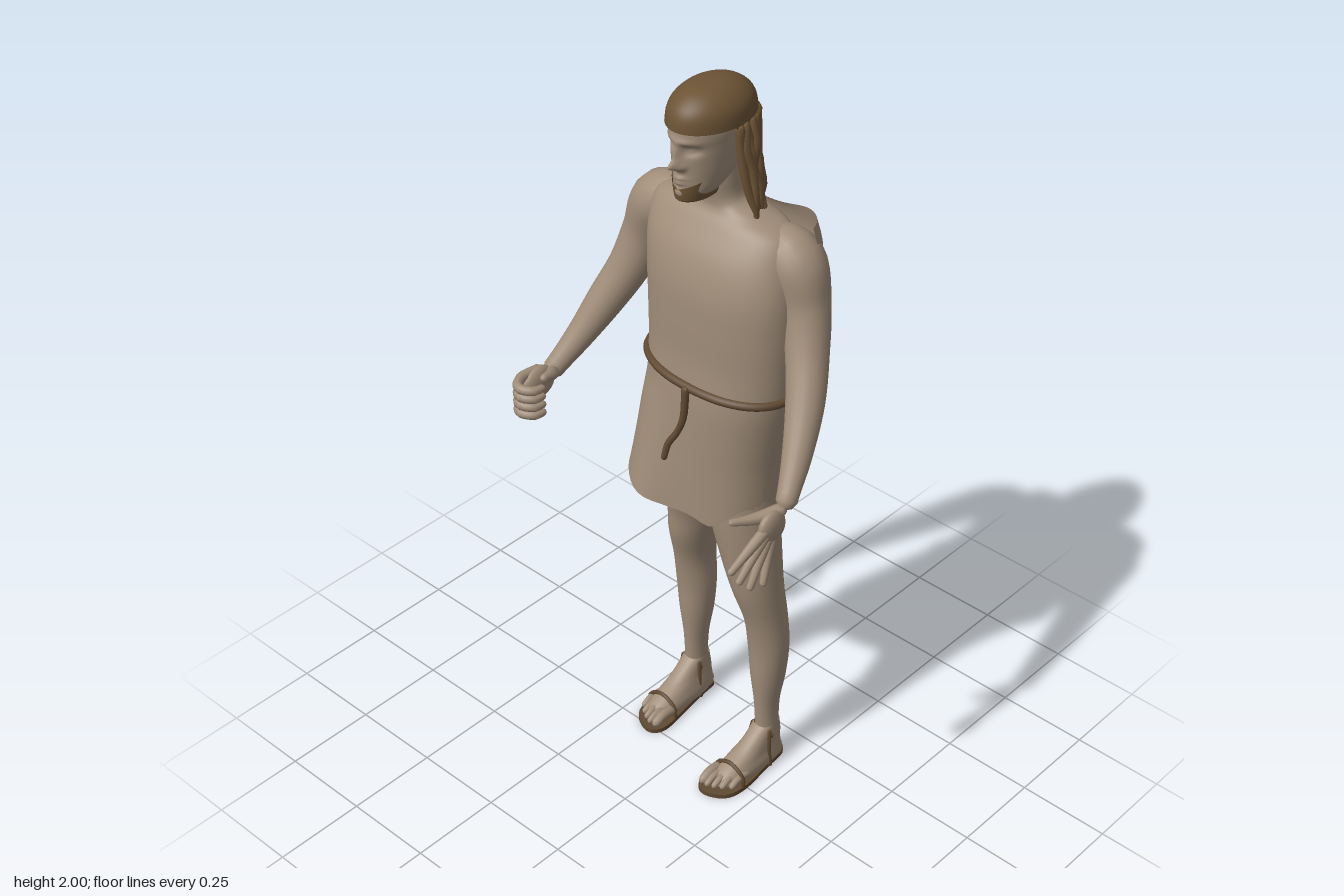
import * as THREE from 'three';

const material = (name, color, side = THREE.FrontSide) => {
  const m = new THREE.MeshStandardMaterial({ color, side });
  m.name = name;
  return m;
};

// Catmull-Rom value along a list of numbers, t in 0..1
function spline(v, t) {
  const f = t * (v.length - 1), i = Math.min(Math.floor(f), v.length - 2), u = f - i;
  const b = v[i], c = v[i + 1], a = v[i - 1] ?? b, d = v[i + 2] ?? c;
  return b + 0.5 * u * (c - a + u * (2 * a - 5 * b + 4 * c - d + u * (3 * (b - c) + d - a)));
}

// Surface through rows of points; closed rows wrap around
function skin(rows, closed = true) {
  const n = rows[0].length, index = [];
  for (let i = 0; i < rows.length - 1; i++) {
    for (let j = 0; j < (closed ? n : n - 1); j++) {
      const k = (j + 1) % n, a = i * n + j, b = i * n + k;
      index.push(a, b, b + n, a, b + n, a + n);
    }
  }
  const g = new THREE.BufferGeometry().setFromPoints(rows.flat());
  g.setIndex(index);
  g.computeVertexNormals();
  return g;
}

// Upright loft of rings [y, cx, cz, rx, rz]; angle 0 faces the front
function loft(rings, { steps = 24, seg = 36, from = 0, to = Math.PI * 2, power = 1, shape } = {}) {
  const closed = to - from > 6.28, rows = [];
  const pow = s => Math.sign(s) * Math.abs(s) ** power;
  for (let i = 0; i <= steps; i++) {
    const [y, cx, cz, rx, rz] = [0, 1, 2, 3, 4].map(k => spline(rings.map(r => r[k]), i / steps));
    const row = [];
    for (let j = 0; j < (closed ? seg : seg + 1); j++) {
      const a = from + (to - from) * j / seg;
      const p = new THREE.Vector3(cx + rx * pow(Math.sin(a)), y, cz + rz * pow(Math.cos(a)));
      if (shape) shape(p, a, i / steps);
      row.push(p);
    }
    rows.push(row);
  }
  return skin(rows, closed);
}

// Round limb through points [x, y, z, radius], rounded at both ends
function limb(pts, steps = 10, seg = 10) {
  const curve = new THREE.CatmullRomCurve3(pts.map(p => new THREE.Vector3(p[0], p[1], p[2])));
  const { normals, binormals, tangents } = curve.computeFrenetFrames(steps);
  const radii = pts.map(p => p[3]), rows = [];
  const ring = (i, size, push) => {
    const r = spline(radii, curve.getUtoTmapping(i / steps)), c = curve.getPointAt(i / steps);
    c.addScaledVector(tangents[i], push * r);
    rows.push(Array.from({ length: seg }, (_, j) => {
      const a = j / seg * Math.PI * 2;
      return c.clone().addScaledVector(normals[i], r * size * Math.cos(a))
        .addScaledVector(binormals[i], r * size * Math.sin(a));
    }));
  };
  ring(0, 0, -0.8); ring(0, 0.65, -0.55);
  for (let i = 0; i <= steps; i++) ring(i, 1, 0);
  ring(steps, 0.65, 0.55); ring(steps, 0, 0.8);
  return skin(rows);
}

const bump = (d, s) => Math.exp(-(d * d) / (s * s));

export function createModel() {
  const model = new THREE.Group();
  const tan = material('tan skin and cloth', 0xa08d79, THREE.DoubleSide);
  const brown = material('brown hair', 0x6c5335, THREE.DoubleSide);
  const leather = material('brown leather', 0x614a32, THREE.DoubleSide);
  const add = (name, geometry, mat, parent = model) => {
    const m = new THREE.Mesh(geometry, mat);
    m.name = name;
    parent.add(m);
    return m;
  };
  const ball = (name, x, y, z, sx, sy, sz) => {
    const m = add(name, new THREE.SphereGeometry(1, 20, 14), tan);
    m.position.set(x, y, z);
    m.scale.set(sx, sy, sz);
    return m;
  };

  // Tunic, chest and neck in one loft; the skirt flares on the right
  add('tunic', loft([
    [0.86, -0.012, -0.092, 0.208, 0.152], [1.0, 0, -0.1, 0.205, 0.153], [1.1, 0.012, -0.104, 0.208, 0.152],
    [1.2, 0.026, -0.1, 0.209, 0.142], [1.3, 0.03, -0.096, 0.212, 0.13], [1.4, 0.031, -0.096, 0.215, 0.13],
    [1.5, 0.027, -0.095, 0.215, 0.125], [1.58, 0.015, -0.1, 0.21, 0.108], [1.645, 0.004, -0.117, 0.195, 0.085],
    [1.675, 0, -0.12, 0.125, 0.066], [1.7, 0, -0.108, 0.066, 0.052], [1.76, 0, -0.097, 0.056, 0.053],
    [1.8, 0, -0.095, 0.054, 0.05],
  ], {
    steps: 60, seg: 64, power: 0.87,
    shape: (p, a) => {
      const k = THREE.MathUtils.clamp((1.18 - p.y) / 0.32, 0, 1);
      const front = Math.max(Math.cos(a), 0), back = Math.max(-Math.cos(a), 0);
      p.z += k * front * (0.045 * bump(p.x + 0.12, 0.09) - 0.012);
      p.z -= 0.03 * back * bump(p.x + 0.16, 0.07) * bump(p.y - 0.95, 0.13);
      p.x -= k * 0.012 * bump(a - 5.2, 0.5);
      p.y += k ** 4 * (0.045 * bump(a - 1.1, 0.35) - 0.02 * bump(a - 0.5, 0.2)
        + 0.025 * bump(a - 5.4, 0.5) - 0.02 * bump(a - 3.9, 0.5));
    },
  }), tan);

  // Loose back panel standing off the shoulders, with a dipped neckline
  add('tunicBack', loft([
    [1.3, 0.03, -0.1, 0.214, 0.13], [1.4, 0.031, -0.11, 0.218, 0.135], [1.5, 0.032, -0.125, 0.225, 0.138],
    [1.6, 0.033, -0.13, 0.225, 0.132], [1.675, 0.03, -0.125, 0.215, 0.12],
  ], {
    steps: 14, seg: 36, from: 1.75, to: 4.55, power: 0.85,
    shape: (p, a, t) => { p.y -= t ** 4 * 0.045 * bump(a - 3.2, 0.55); },
  }), tan);

  // Rope belt with its hanging end
  const beltPoints = Array.from({ length: 40 }, (_, i) => {
    const a = i / 40 * Math.PI * 2, f = s => Math.sign(s) * Math.abs(s) ** 0.87;
    return new THREE.Vector3(0.029 + 0.212 * f(Math.sin(a)), 1.236 - 0.004 * Math.sin(a), -0.099 + 0.141 * f(Math.cos(a)));
  });
  add('belt', new THREE.TubeGeometry(new THREE.CatmullRomCurve3(beltPoints, true), 100, 0.011, 8, true), leather);
  add('beltEnd', limb([[0.035, 1.235, 0.052, 0.01], [0.03, 1.15, 0.055, 0.009], [0.012, 1.1, 0.058, 0.009],
    [-0.01, 1.06, 0.066, 0.009], [-0.016, 1.02, 0.074, 0.008]], 16, 8), leather);

  // Arms
  add('leftArm', limb([[0.15, 1.61, -0.135, 0.06], [0.205, 1.58, -0.135, 0.074], [0.245, 1.48, -0.13, 0.061],
    [0.28, 1.38, -0.1, 0.053], [0.32, 1.28, -0.05, 0.047], [0.358, 1.18, 0.02, 0.036], [0.385, 1.1, 0.085, 0.026]], 32, 20), tan);
  add('rightArm', limb([[-0.15, 1.61, -0.135, 0.06], [-0.212, 1.58, -0.135, 0.074], [-0.258, 1.48, -0.13, 0.062],
    [-0.29, 1.38, -0.1, 0.054], [-0.33, 1.28, -0.05, 0.047], [-0.362, 1.19, 0.01, 0.036], [-0.39, 1.11, 0.08, 0.027]], 32, 20), tan);

  // Open left hand
  ball('leftPalm', 0.385, 1.055, 0.135, 0.019, 0.046, 0.042).rotation.x = 0.75;
  [[0.372, 0.985, 0.262], [0.383, 0.952, 0.245], [0.395, 0.927, 0.22], [0.405, 0.925, 0.185]].forEach(([x, y, z], i) =>
    add('leftFinger', limb([[0.385, 1.075, 0.115, 0.012], [0.386, 1.047 - i * 0.012, 0.182 - i * 0.014, 0.014],
      [x, y, z, 0.009]], 8, 8), tan));
  add('leftThumb', limb([[0.383, 1.085, 0.1, 0.017], [0.355, 1.075, 0.155, 0.015], [0.328, 1.08, 0.212, 0.009]], 8, 8), tan);

  // Closed right hand
  ball('rightPalm', -0.393, 1.093, 0.13, 0.022, 0.046, 0.055);
  for (let i = 0; i < 4; i++) {
    const y = 1.126 - i * 0.024;
    add('rightFinger', limb([[-0.4, y, 0.12, 0.013], [-0.402, y, 0.18, 0.014], [-0.375, y, 0.212, 0.013],
      [-0.338, y, 0.196, 0.012], [-0.333, y, 0.172, 0.01]], 14, 8), tan);
  }
  add('rightThumb', limb([[-0.385, 1.11, 0.085, 0.018], [-0.36, 1.125, 0.115, 0.016], [-0.35, 1.135, 0.15, 0.011]], 8, 8), tan);

  // Legs, feet and sandals; the right one stands further back
  for (const side of [1, -1]) {
    const leg = new THREE.Group(), s = side;
    leg.name = side > 0 ? 'leftLeg' : 'rightLeg';
    leg.position.z = side > 0 ? 0 : -0.075;
    model.add(leg);
    add('leg', loft([
      [0.03, 0.162, -0.132, 0.032, 0.042], [0.1, 0.162, -0.13, 0.029, 0.035], [0.2, 0.161, -0.128, 0.031, 0.038],
      [0.3, 0.161, -0.13, 0.046, 0.049], [0.4, 0.161, -0.129, 0.055, 0.054], [0.5, 0.158, -0.118, 0.055, 0.06],
      [0.6, 0.145, -0.1, 0.064, 0.071], [0.7, 0.128, -0.092, 0.077, 0.08], [0.85, 0.108, -0.083, 0.092, 0.09],
      [1.0, 0.1, -0.08, 0.095, 0.09],
    ].map(r => [r[0], r[1] * s, r[2] + (s < 0 && r[0] > 0.8 ? 0.03 : 0), r[3], r[4]]), { steps: 40, seg: 24 }), tan, leg);
    add('foot', loft([
      [0.012, 0.158, -0.06, 0, 0], [0.014, 0.158, -0.06, 0.04, 0.115], [0.035, 0.158, -0.06, 0.045, 0.118],
      [0.06, 0.158, -0.078, 0.038, 0.098], [0.085, 0.16, -0.105, 0.033, 0.07], [0.13, 0.161, -0.13, 0.029, 0.036],
    ].map(r => [r[0], r[1] * s, r[2], r[3], r[4]]), { steps: 20, seg: 28, power: 0.85 }), tan, leg);
    [0.078, 0.082, 0.075, 0.063, 0.046].forEach((z, i) => {
      const x = s * (0.121 + i * 0.0185), r = i ? 0.0095 : 0.014;
      add('toe', limb([[x, 0.035, z - 0.06, r], [x, 0.037, z - 0.025, r], [x, 0.026, z, r * 0.9]], 6, 8), tan, leg);
    });

    const outline = new THREE.Shape([[0.128, -0.165], [0.158, -0.183], [0.19, -0.165], [0.199, -0.09], [0.21, 0.0],
      [0.2, 0.06], [0.165, 0.09], [0.125, 0.095], [0.102, 0.06], [0.11, -0.02], [0.122, -0.1]]
      .map(([x, z]) => new THREE.Vector2(x * s, -z)));
    const smooth = new THREE.Shape(new THREE.SplineCurve([...outline.getPoints(), outline.getPoints()[0]]).getPoints(44).slice(0, -1));
    const sole = new THREE.ExtrudeGeometry(smooth, { depth: 0.013, bevelEnabled: false });
    add('sandalSole', sole.rotateX(-Math.PI / 2), leather, leg);

    // Straps over the toes, around the ankle and down both sides
    const arch = (z, y, w) => limb([[-w, 0.012, z], [-w * 0.92, y * 0.65, z], [0, y, z], [w * 0.92, y * 0.65, z], [w, 0.012, z]]
      .map(([x, h, d]) => [0.158 * s + x, h, d, 0.006]), 18, 6);
    add('toeStrap', arch(0.012, 0.065, 0.047), leather, leg);
    for (const x of [-0.036, 0.036]) {
      add('ankleStrap', limb([[0.16 * s + x * 1.15, 0.01, -0.1, 0.006], [0.16 * s + x, 0.06, -0.1, 0.006],
        [0.161 * s + x * 0.8, 0.118, -0.108, 0.006]], 8, 6), leather, leg);
    }
    add('instepStrap', limb([[0.13 * s, 0.1, -0.115, 0.006], [0.145 * s, 0.092, -0.08, 0.006], [0.16 * s, 0.087, -0.064, 0.006],
      [0.177 * s, 0.092, -0.08, 0.006], [0.193 * s, 0.1, -0.115, 0.006]], 14, 6), leather, leg);
  }

  // Head with nose, brow, eyes and lips pushed out of the loft
  add('head', loft([
    [1.735, 0, -0.025, 0, 0], [1.737, 0, -0.025, 0.032, 0.05], [1.755, 0, -0.034, 0.05, 0.068], [1.79, 0, -0.055, 0.063, 0.09],
    [1.83, 0, -0.066, 0.071, 0.103], [1.87, 0, -0.07, 0.076, 0.109], [1.91, 0, -0.072, 0.079, 0.114],
    [1.95, 0, -0.072, 0.07, 0.1], [1.975, 0, -0.072, 0.04, 0.06],
  ], {
    steps: 70, seg: 96,
    shape: (p, a) => {
      if (Math.cos(a) < 0.2) return;
      const at = (x, y, sx, sy) => bump(Math.abs(p.x) - x, sx) * bump(p.y - y, sy);
      p.z += 0.03 * at(0, 1.828, 0.012, 0.013) + 0.016 * at(0, 1.855, 0.01, 0.025) + 0.009 * at(0.014, 1.822, 0.007, 0.008)
        - 0.014 * at(0.03, 1.865, 0.017, 0.011) + 0.006 * at(0.03, 1.865, 0.01, 0.005) + 0.006 * at(0.02, 1.887, 0.03, 0.008)
        + 0.008 * at(0, 1.791, 0.018, 0.005) + 0.008 * at(0, 1.779, 0.016, 0.005) + 0.007 * at(0, 1.752, 0.02, 0.013);
    },
  }), tan);

  // Short beard along the jaw
  add('beard', loft([
    [1.727, 0, -0.027, 0, 0], [1.729, 0, -0.027, 0.034, 0.056], [1.74, 0, -0.031, 0.045, 0.069], [1.762, 0, -0.04, 0.056, 0.079],
  ], { steps: 12, seg: 40, from: -1.9, to: 1.9, shape: (p, a) => { p.y += Math.max(0, p.y - 1.735) * Math.abs(a) * 0.9; } }), brown);

  // Hair cap: straight fringe, longer at the back
  add('hairCap', loft([
    [1.77, 0, -0.078, 0.083, 0.113], [1.85, 0, -0.074, 0.087, 0.12], [1.915, 0, -0.073, 0.089, 0.123], [1.955, 0, -0.073, 0.082, 0.113],
    [1.982, 0, -0.073, 0.06, 0.084], [1.996, 0, -0.073, 0.032, 0.046], [2.0, 0, -0.073, 0, 0],
  ], {
    steps: 36, seg: 48,
    shape: (p, a) => { p.y = Math.max(p.y, 1.77 + 0.143 * THREE.MathUtils.smoothstep(Math.cos(a), -0.5, 0.15)); },
  }), brown);

  // Long twisted strands around the sides and back
  let seed = 7;
  const rand = () => (seed = (seed * 16807) % 2147483647) / 2147483647 - 0.5;
  for (let i = 0; i < 26; i++) {
    const a = 1.5 + (i / 25) * (Math.PI * 2 - 3), sx = Math.sin(a), cz = Math.cos(a), w = Math.abs(sx);
    const strand = [0, 0.25, 0.5, 0.75, 1].map(t => [
      sx * (0.085 + 0.03 * t * w) + rand() * 0.016 * (t > 0 ? 1 : 0), 1.905 - t * (0.225 + rand() * 0.04),
      -0.078 + cz * (0.108 - 0.01 * t) - 0.022 * t * w + rand() * 0.014, 0.012 - 0.005 * t * t,
    ]);
    add('hairStrand', limb(strand, 12, 7), brown);
  }
  return model;
}
